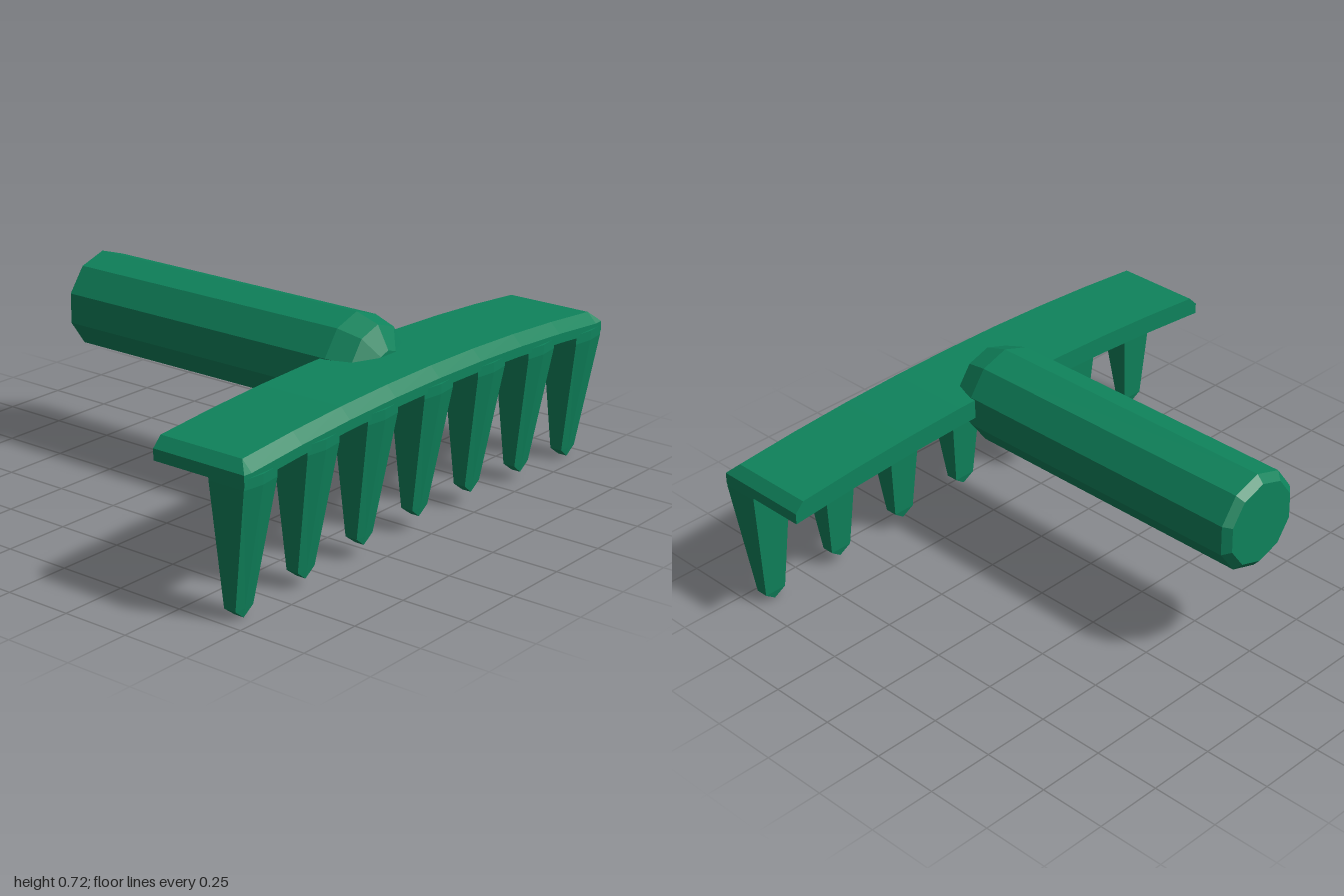
import * as THREE from 'three';

const green = new THREE.MeshStandardMaterial({ color: 0x0f835c });
green.name = 'green';

// Faceted normals for any geometry
function faceted(geometry) {
  const g = geometry.index ? geometry.toNonIndexed() : geometry;
  g.computeVertexNormals();
  return g;
}

// Skin a series of equal-sized rings of Vector3 and cap both ends
function loft(rings) {
  const pos = [];
  const tri = (a, b, c) => {
    const area = b.clone().sub(a).cross(c.clone().sub(a)).length();
    if (area > 1e-7) for (const p of [a, b, c]) pos.push(p.x, p.y, p.z);
  };
  const n = rings[0].length;
  for (let i = 0; i < rings.length - 1; i++) {
    for (let j = 0; j < n; j++) {
      const k = (j + 1) % n;
      const a = rings[i][j], b = rings[i][k], c = rings[i + 1][k], d = rings[i + 1][j];
      tri(a, d, c);
      tri(a, c, b);
    }
  }
  const first = rings[0], last = rings[rings.length - 1];
  for (let j = 1; j < n - 1; j++) {
    tri(first[0], first[j], first[j + 1]);
    tri(last[0], last[j + 1], last[j]);
  }
  const g = new THREE.BufferGeometry();
  g.setAttribute('position', new THREE.Float32BufferAttribute(pos, 3));
  return faceted(g);
}

const v = (x, y, z) => new THREE.Vector3(x, y, z);
const archTop = z => 0.595 - 0.05 * z * z;

function part(name, geometry) {
  const mesh = new THREE.Mesh(geometry, green);
  mesh.name = name;
  return mesh;
}

// Ten-sided grip with bevelled back and rounded front
function makeHandle() {
  const profile = [[0, -0.775], [0.152, -0.775], [0.18, -0.75], [0.18, 0.42],
    [0.152, 0.51], [0.07, 0.555], [0, 0.555]].map(p => new THREE.Vector2(...p));
  const g = new THREE.LatheGeometry(profile, 10);
  g.rotateY(Math.PI / 2);
  g.rotateZ(-Math.PI / 2);
  g.translate(0, 0.54, 0);
  return part('handle', faceted(g));
}

// Arched plate, bevelled along its outer edge and at both ends
function makeHead() {
  const section = (z, top, bevel) => [
    v(0.4, top, z), v(0.767 - bevel, top, z), v(0.767, top - bevel, z),
    v(0.767, archTop(z) - 0.072, z), v(0.4, archTop(z) - 0.072, z)];
  const rings = [section(-1, 0.513, 0)];
  const steps = 8;
  for (let i = 0; i <= steps; i++) {
    const z = -0.965 + 1.93 * i / steps;
    rings.push(section(z, archTop(z), 0.037));
  }
  rings.push(section(1, 0.513, 0));
  return part('head', loft(rings));
}

// Tapered tine with a ridge on each broad side and a wedge tip
function makeTine(z, index) {
  const tip = 0.05 - 0.05 * (z / 0.92) ** 2;
  const section = (y, xi, xo, w, ridge) => [
    v(xi, y, z + w), v(xo - ridge, y, z + w), v(xo, y, z),
    v(xo - ridge, y, z - w), v(xi, y, z - w), v(xi, y, z)];
  return part('tine' + (index + 1), loft([
    section(archTop(z) - 0.055, 0.622, 0.775, 0.08, 0.01),
    section(archTop(z) - 0.09, 0.625, 0.775, 0.08, 0.01),
    section(tip + 0.033, 0.653, 0.702, 0.043, 0.003),
    section(tip, 0.66, 0.696, 0, 0)]));
}

export function createModel() {
  const model = new THREE.Group();
  model.name = 'handRake';
  model.add(makeHandle(), makeHead());
  const tines = new THREE.Group();
  tines.name = 'tines';
  for (let i = 0; i < 7; i++) tines.add(makeTine((i - 3) * 0.92 / 3, i));
  model.add(tines);
  return model;
}
